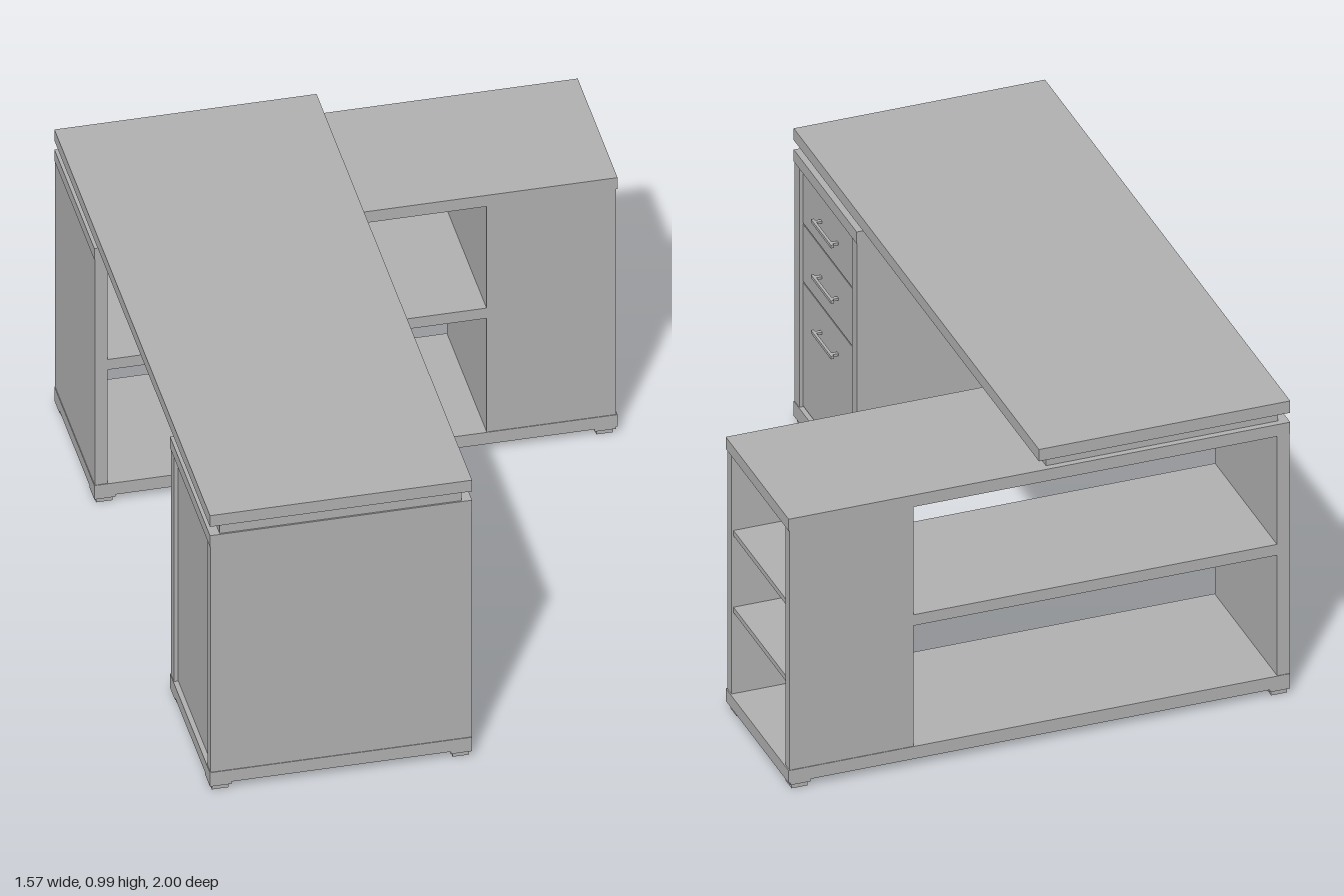
import * as THREE from 'three';

export function createModel() {
  const desk = new THREE.Group();
  desk.name = 'cornerDesk';
  const grey = new THREE.MeshStandardMaterial({ color: 0xb0b0b0 });
  grey.name = 'plainGrey';

  // Box given by its lower and upper limits on each axis
  function box(parent, name, [x0, x1], [y0, y1], [z0, z1]) {
    const mesh = new THREE.Mesh(new THREE.BoxGeometry(x1 - x0, y1 - y0, z1 - z0), grey);
    mesh.position.set((x0 + x1) / 2, (y0 + y1) / 2, (z0 + z1) / 2);
    mesh.name = name;
    parent.add(mesh);
  }

  function section(name) {
    const group = new THREE.Group();
    group.name = name;
    desk.add(group);
    return group;
  }

  // Four stepped feet under the corners of a cabinet
  function feet(parent, [x0, x1], [z0, z1]) {
    const w = 0.064;
    for (const x of [x0 + w / 2, x1 - w / 2]) {
      for (const z of [z0 + w / 2, z1 - w / 2]) {
        box(parent, 'footPlate', [x - w / 2, x + w / 2], [0.016, 0.025], [z - w / 2, z + w / 2]);
        box(parent, 'foot', [x - 0.025, x + 0.025], [0, 0.016], [z - 0.025, z + 0.025]);
      }
    }
  }

  const base = [0.024, 0.066], lid = [0.878, 0.918], wall = [0.066, 0.878];

  // Raised worktop with a spacer over each cabinet
  const top = section('worktop');
  box(top, 'topSlab', [-0.788, 0], [0.95, 0.99], [-1, 1]);
  box(top, 'frontSpacer', [-0.758, -0.03], [0.918, 0.95], [0.51, 0.995]);
  box(top, 'rearSpacer', [-0.758, -0.03], [0.918, 0.95], [-0.98, -0.5]);

  // Drawer pedestal, with drawers opening towards +x
  const pedestal = section('drawerPedestal');
  box(pedestal, 'baseSlab', [-0.788, 0], base, [0.487, 1]);
  box(pedestal, 'lidSlab', [-0.788, 0], lid, [0.487, 1]);
  box(pedestal, 'outerSide', [-0.786, -0.002], wall, [0.96, 0.998]);
  box(pedestal, 'innerSide', [-0.786, -0.002], wall, [0.49, 0.528]);
  box(pedestal, 'endPanel', [-0.773, -0.745], wall, [0.528, 0.96]);
  for (const [y0, y1, grip] of [[0.07, 0.488, 0.4], [0.492, 0.686, 0.588], [0.69, 0.876, 0.776]]) {
    box(pedestal, 'drawer', [-0.74, -0.013], [y0, y1], [0.53, 0.958]);
    box(pedestal, 'handleBar', [0.005, 0.014], [grip - 0.005, grip + 0.005], [0.66, 0.824]);
    for (const z of [0.675, 0.809]) {
      box(pedestal, 'handlePost', [-0.013, 0.006], [grip - 0.004, grip + 0.004], [z - 0.006, z + 0.006]);
    }
  }
  feet(pedestal, [-0.788, 0], [0.487, 1]);

  // Long shelf unit along the rear, open through its middle
  const shelves = section('shelfUnit');
  box(shelves, 'baseSlab', [-0.788, 0.785], base, [-1, -0.487]);
  box(shelves, 'lidSlab', [-0.788, 0.785], lid, [-1, -0.487]);
  box(shelves, 'endWall', [-0.786, -0.748], wall, [-0.998, -0.489]);
  box(shelves, 'middleShelf', [-0.748, 0.392], [0.473, 0.51], [-0.996, -0.491]);

  // Bookcase at its end, open towards +x
  box(shelves, 'frontPanel', [0.392, 0.781], wall, [-0.524, -0.489]);
  box(shelves, 'rearPanel', [0.392, 0.781], wall, [-0.998, -0.963]);
  box(shelves, 'divider', [0.392, 0.425], wall, [-0.963, -0.524]);
  for (const y of [0.35, 0.61]) {
    box(shelves, 'bookShelf', [0.425, 0.775], [y - 0.009, y + 0.009], [-0.963, -0.524]);
  }
  feet(shelves, [-0.788, 0.78], [-1, -0.487]);

  return desk;
}
